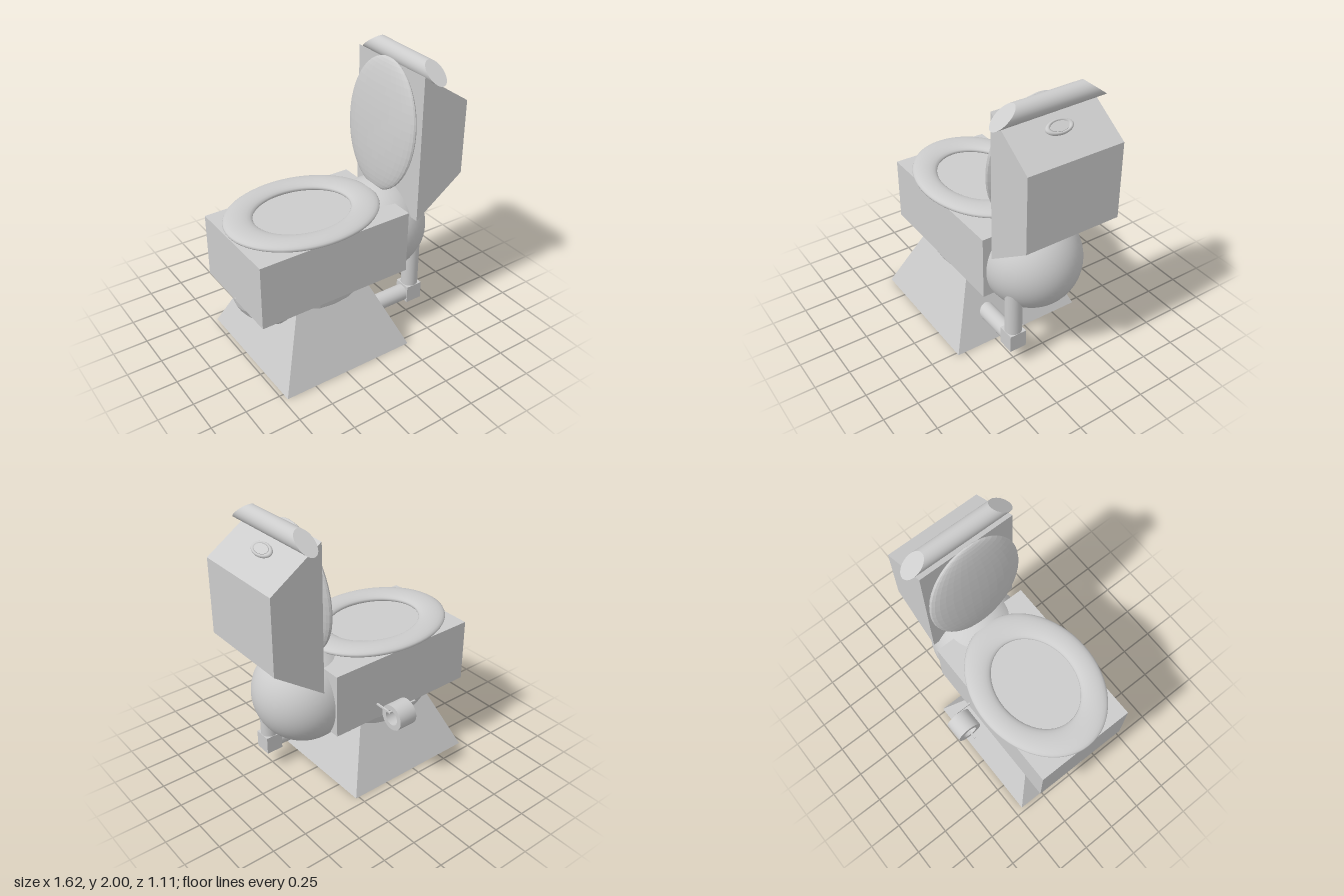
import * as THREE from 'three';
import { toCreasedNormals } from 'three/addons/utils/BufferGeometryUtils.js';

const MID = 0.03; // depth of the model's centre plane

export function createModel() {
  const group = new THREE.Group();
  const porcelain = new THREE.MeshStandardMaterial({ color: 0xcccccc });
  porcelain.name = 'porcelain grey';

  const add = (name, geometry, x, y, z, parent = group) => {
    const mesh = new THREE.Mesh(geometry, porcelain);
    mesh.name = name;
    mesh.position.set(x, y, z);
    parent.add(mesh);
    return mesh;
  };
  const faceted = (g) => toCreasedNormals(g, 0.01);

  // Pedestal: square frustum
  const pedestal = new THREE.CylinderGeometry(0.237 * Math.SQRT2, 0.497 * Math.SQRT2, 0.6, 4);
  pedestal.rotateY(Math.PI / 4);
  add('pedestal', faceted(pedestal), -0.222, 0.3, 0.057);

  // Bowl: faceted ellipsoid half sunk into the body
  const bowl = new THREE.SphereGeometry(1, 32, 16).scale(0.57, 0.33, 0.342);
  add('bowl', faceted(bowl), -0.222, 0.52, MID);

  add('body', new THREE.BoxGeometry(1.147, 0.465, 0.733), -0.216, 0.742, 0.027);
  add('rearBulb', new THREE.SphereGeometry(0.348, 48, 32), 0.372, 0.705, 0.022);

  // Seat: flattened oval ring
  const seat = new THREE.TorusGeometry(0.449, 0.104, 20, 64);
  seat.rotateX(Math.PI / 2).scale(1, 0.32, 0.78);
  add('seat', seat, -0.255, 1.017, MID);

  // Raised lid leaning on the tank
  const lid = new THREE.SphereGeometry(1, 32, 24).scale(0.06, 0.467, 0.352);
  add('lid', faceted(lid), 0.383, 1.484, MID).rotation.z = -0.102;

  // Tank: side profile extruded across the depth
  const profile = new THREE.Shape([[0.44, 0.875], [0.81, 1.143], [0.81, 1.68], [0.44, 1.925]]
    .map(([x, y]) => new THREE.Vector2(x, y)));
  add('tank', new THREE.ExtrudeGeometry(profile, { depth: 0.695, bevelEnabled: false }), 0, 0, -0.315);

  // Top bar: cylinder whose ends are cut on a slant
  const bar = new THREE.CylinderGeometry(0.064, 0.064, 2, 32).rotateX(Math.PI / 2);
  const p = bar.attributes.position;
  for (let i = 0; i < p.count; i++) {
    p.setZ(i, p.getZ(i) * (0.33 - (p.getY(i) / 0.064) * 0.08));
  }
  add('topBar', toCreasedNormals(bar, 0.5), 0.538, 1.932, 0.035).rotation.x = 0.015;

  // Flush button: oval disc in a raised rim on the sloping tank top
  const button = new THREE.Group();
  button.name = 'flushButton';
  button.position.set(0.626, 1.802, MID);
  button.rotation.z = -Math.atan2(0.245, 0.37);
  group.add(button);
  add('buttonRim', new THREE.TorusGeometry(0.082, 0.017, 12, 40)
    .rotateX(Math.PI / 2).scale(0.52, 0.9, 1), 0, 0.004, 0, button);
  add('buttonDisc', new THREE.CylinderGeometry(0.066, 0.07, 0.024, 40)
    .scale(0.52, 1, 1), 0, 0.003, 0, button);

  // Waste pipe with square elbow
  add('verticalPipe', new THREE.CylinderGeometry(0.06, 0.06, 0.4, 32), 0.508, 0.43, 0.257);
  add('pipeElbow', new THREE.BoxGeometry(0.124, 0.13, 0.124), 0.507, 0.206, 0.257);
  add('horizontalPipe', new THREE.CylinderGeometry(0.06, 0.06, 0.37, 32)
    .rotateZ(Math.PI / 2), 0.285, 0.197, 0.257);

  // Paper roll hanging on a bent rod at the back
  const section = [[0.093, -0.07], [0.093, 0.07], [0.056, 0.07], [0.056, -0.07], [0.093, -0.07]]
    .map(([r, y]) => new THREE.Vector2(r, y));
  const roll = new THREE.LatheGeometry(section, 32).rotateZ(Math.PI / 2);
  add('paperRoll', toCreasedNormals(roll, 0.6), -0.075, 0.57, -0.465);
  add('rollRod', new THREE.BoxGeometry(0.23, 0.012, 0.012), -0.097, 0.623, -0.468);
  add('rollArm', new THREE.BoxGeometry(0.012, 0.012, 0.15), 0.014, 0.623, -0.4);

  return group;
}
